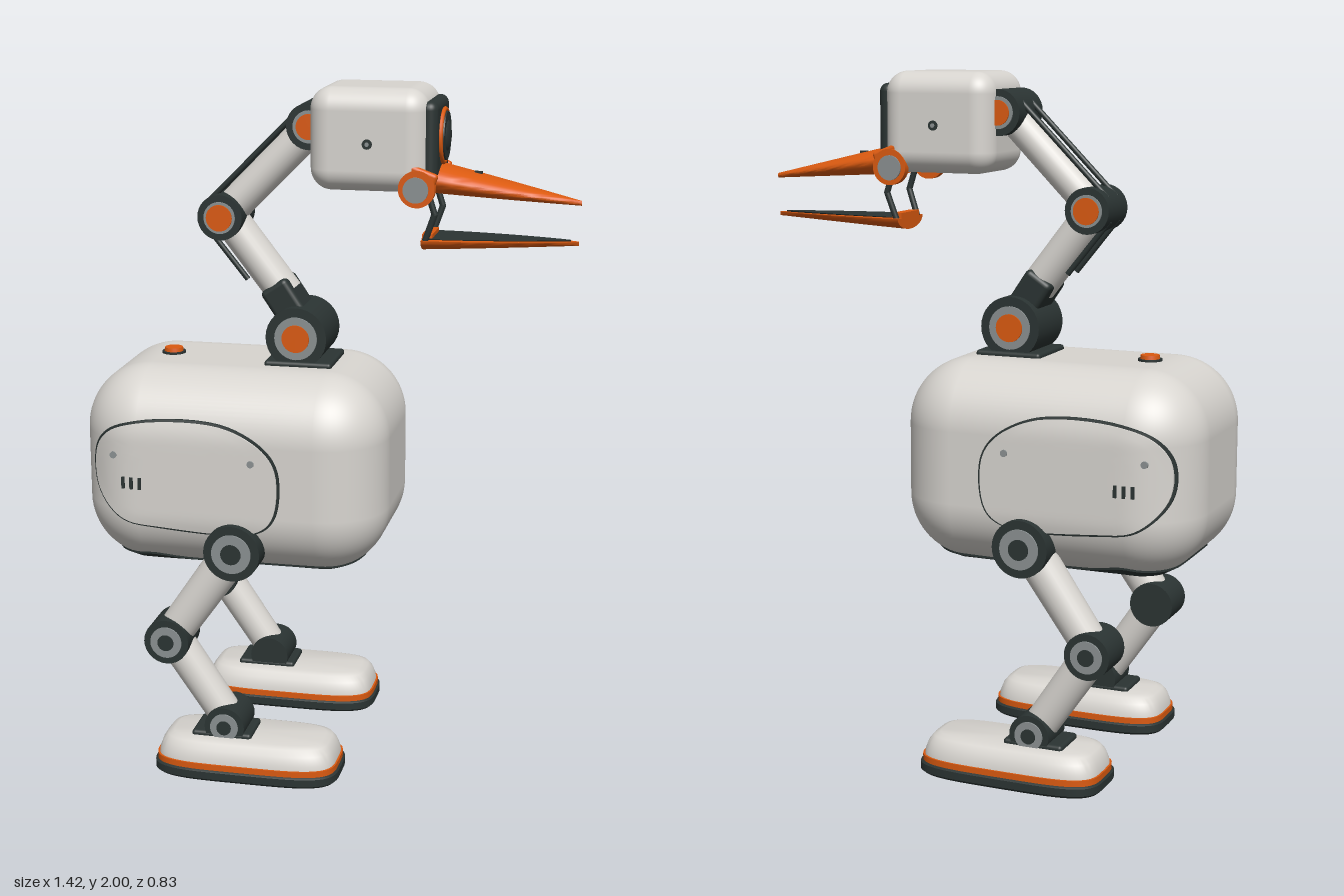
import * as THREE from 'three';
import { mergeVertices, toCreasedNormals } from 'three/addons/utils/BufferGeometryUtils.js';
import { RoundedBoxGeometry } from 'three/addons/geometries/RoundedBoxGeometry.js';

const material = (name, color) => new THREE.MeshStandardMaterial({ name, color });
const V = (x, y, z) => new THREE.Vector3(x, y, z);

export function createModel() {
  const light = material('warm white shell', 0xd8d5d0);
  const dark = material('charcoal', 0x2b3433);
  const orange = material('orange', 0xdb5a10);
  const grey = material('steel grey', 0x8b9192);
  const model = new THREE.Group();

  function add(name, geometry, mat, x = 0, y = 0, z = 0, parent = model) {
    const mesh = new THREE.Mesh(geometry, mat);
    mesh.name = name;
    mesh.position.set(x, y, z);
    parent.add(mesh);
    return mesh;
  }

  // Surface through a list of closed rings with equal point counts
  function loft(rings, flip = false) {
    const n = rings[0].length, index = [];
    for (let i = 0; i < rings.length - 1; i++) {
      for (let j = 0; j < n; j++) {
        const a = i * n + j, b = i * n + (j + 1) % n, c = a + n, d = b + n;
        index.push(...(flip ? [a, c, b, b, c, d] : [a, b, c, b, d, c]));
      }
    }
    const g = new THREE.BufferGeometry().setFromPoints(rings.flat());
    g.setIndex(index);
    return toCreasedNormals(mergeVertices(g), 0.7);
  }

  // Straight round link between two points
  function link(name, a, b, r, mat, parent = model, r2 = r) {
    const dir = b.clone().sub(a), mid = a.clone().add(b).multiplyScalar(0.5);
    const mesh = add(name, new THREE.CylinderGeometry(r2, r, dir.length(), 28), mat, mid.x, mid.y, mid.z, parent);
    mesh.quaternion.setFromUnitVectors(V(0, 1, 0), dir.normalize());
    return mesh;
  }

  // Cylinder lying along z
  function disc(name, x, y, z, r, depth, mat, parent = model) {
    add(name, new THREE.CylinderGeometry(r, r, depth, 32).rotateX(Math.PI / 2), mat, x, y, z, parent);
  }

  // Pivot drum with a ring and hub on each listed side
  function joint(name, x, y, z, r, half, hubMat, hub, sides, parent = model) {
    const g = new THREE.Group();
    g.name = name;
    parent.add(g);
    disc('drum', x, y, z, r, half * 2, dark, g);
    for (const s of sides) {
      disc('ring', x, y, z + s * half, r * 0.7, 0.01, grey, g);
      disc('hub', x, y, z + s * half, r * hub, 0.018, hubMat, g);
    }
  }

  // Body
  const R = 0.19, B = { x: -0.26, y: 0.895, hx: 0.45, hy: 0.295, hz: 0.31 };
  add('body', new RoundedBoxGeometry(B.hx * 2, B.hy * 2, B.hz * 2, 10, R), light, B.x, B.y, 0);
  const bulge = (u, hu, v, hv) => {
    const du = Math.max(Math.abs(u) - hu + R, 0), dv = Math.max(Math.abs(v) - hv + R, 0);
    return Math.sqrt(Math.max(R * R - du * du - dv * dv, 0)) - R;
  };

  // Cover plate that follows the rounded body
  function cover(name, points, mat, place, lift, flip, shrink = 0) {
    const curve = new THREE.CatmullRomCurve3(points.map(([u, v]) => V(u, v, 0)), true, 'centripetal');
    const outline = curve.getPoints(72).slice(0, -1);
    const c = outline.reduce((s, p) => s.add(p), V(0, 0, 0)).divideScalar(outline.length);
    const ring = (k, h) => outline.map(p => {
      const d = p.clone().sub(c), len = d.length();
      d.multiplyScalar(k * (len - shrink) / len).add(c);
      return place(d.x, d.y, h);
    });
    const rings = [ring(1, -0.02), ring(1, lift)];
    for (const k of [0.9, 0.8, 0.7, 0.6, 0.45, 0.3, 0.15, 0]) rings.push(ring(k, lift));
    add(name, loft(rings, flip), mat);
  }
  const panel = [[-0.65, 0.85], [-0.57, 0.765], [-0.45, 0.742], [-0.17, 0.742], [-0.11, 0.79],
    [-0.098, 0.93], [-0.14, 1.0], [-0.26, 1.06], [-0.5, 1.062], [-0.61, 1.025], [-0.655, 0.96]];
  for (const s of [1, -1]) {
    const place = (x, y, h) => V(x, y, s * (B.hz + h + bulge(x - B.x, B.hx, y - B.y, B.hy)));
    cover('sidePanelSeam', panel, dark, place, 0.008, s < 0);
    cover('sidePanel', panel, light, place, 0.014, s < 0, 0.007);
    for (const x of [-0.585, -0.175]) {
      const p = place(x, 0.957, 0.014);
      disc('panelScrew', x, 0.957, p.z, 0.01, 0.01, grey);
    }
    for (const x of [-0.555, -0.53, -0.505]) {
      const p = place(x, 0.878, 0.014);
      add('vent', new THREE.BoxGeometry(0.009, 0.034, 0.012), dark, x, 0.878, p.z);
    }
  }
  const belly = [[0.115, -0.13], [0.115, 0.13], [0.04, 0.2], [-0.1, 0.195], [-0.36, 0.195], [-0.5, 0.235],
    [-0.59, 0.2], [-0.635, 0.12], [-0.635, -0.12], [-0.59, -0.2], [-0.5, -0.235], [-0.36, -0.195], [-0.1, -0.195], [0.04, -0.2]];
  cover('bellyPlate', belly, dark,
    (x, z, h) => V(x, B.y - B.hy - h - bulge(x - B.x, B.hx, z, B.hz), z), 0.006, false);
  add('backButton', new THREE.CylinderGeometry(0.027, 0.03, 0.02, 28), orange, -0.49, 1.197, 0);
  add('backButtonRim', new THREE.CylinderGeometry(0.035, 0.035, 0.008, 28), dark, -0.49, 1.192, 0);

  // Legs and feet
  function footRing(inset, y, k = 1) {
    const pts = [];
    for (let i = 0; i < 64; i++) {
      const t = i / 64 * Math.PI * 2, c = Math.cos(t), s = Math.sin(t);
      const f = v => Math.sign(v) * Math.sqrt(Math.abs(v));
      pts.push(V(k * (0.278 - inset) * f(c), y, -k * (0.136 - inset) * f(s)));
    }
    return pts;
  }
  for (const s of [1, -1]) {
    const leg = new THREE.Group(), z = s * 0.277;
    leg.name = s > 0 ? 'nearLeg' : 'farLeg';
    model.add(leg);
    const hip = V(-0.23, 0.69, z), knee = V(-0.432, 0.4, z), ankle = V(-0.26, 0.145, z);
    joint('hip', hip.x, hip.y, z, 0.083, 0.068, dark, 0.36, [s], leg);
    joint('knee', knee.x, knee.y, z, 0.067, 0.064, dark, 0.36, [s], leg);
    joint('ankle', ankle.x, ankle.y, z, 0.06, 0.064, dark, 0.36, [s], leg);
    link('thigh', knee, hip, 0.053, light, leg, 0.058);
    link('shin', ankle, knee, 0.05, light, leg, 0.053);
    add('anklePlate', new RoundedBoxGeometry(0.18, 0.025, 0.13, 3, 0.01), dark, -0.27, 0.115, z, leg);
    const foot = (name, rings, mat) => add(name, loft(rings), mat, -0.197, 0, z, leg);
    foot('sole', [footRing(0, 0, 0), footRing(0.008, 0), footRing(0, 0.008), footRing(0, 0.03), footRing(0.008, 0.036), footRing(0, 0.036, 0)], dark);
    foot('soleStripe', [footRing(0.006, 0.034), footRing(0.006, 0.052), footRing(0.006, 0.052, 0)], orange);
    foot('footShell', [footRing(0.011, 0.05), footRing(0.013, 0.065), footRing(0.022, 0.09), footRing(0.035, 0.107),
      footRing(0.052, 0.114), footRing(0.052, 0.114, 0)], light);
  }

  // Neck
  const base = V(-0.095, 1.273, 0), elbow = V(-0.322, 1.615, 0), nape = V(-0.055, 1.885, 0);
  add('neckPlate', new RoundedBoxGeometry(0.2, 0.022, 0.2, 3, 0.01), dark, -0.09, 1.193, 0);
  joint('neckBase', base.x, base.y, 0, 0.09, 0.093, orange, 0.45, [1, -1]);
  const collar = add('neckCollar', new RoundedBoxGeometry(0.09, 0.13, 0.13, 3, 0.015), dark, -0.137, 1.365, 0);
  collar.rotation.z = 0.59;
  link('lowerNeck', V(-0.145, 1.385, 0), elbow, 0.052, light).scale.z = 1.12;
  joint('neckElbow', elbow.x, elbow.y, 0, 0.066, 0.078, orange, 0.58, [1, -1]);
  link('upperNeck', elbow, nape, 0.05, light).scale.z = 1.12;
  joint('nape', nape.x, nape.y, 0, 0.066, 0.088, orange, 0.55, [1, -1]);
  for (const z of [-0.035, 0.035]) {
    link('upperTendon', V(-0.37, 1.65, z), V(-0.105, 1.915, z), 0.008, dark);
    link('lowerTendon', V(-0.375, 1.585, z), V(-0.25, 1.43, z), 0.008, dark);
  }

  // Head and eye
  add('head', new RoundedBoxGeometry(0.34, 0.29, 0.286, 8, 0.062), light, 0.12, 1.855, 0);
  add('facePlate', new RoundedBoxGeometry(0.05, 0.22, 0.226, 5, 0.024), dark, 0.288, 1.855, 0);
  add('eyeRing', new THREE.TorusGeometry(0.074, 0.007, 10, 40).rotateY(Math.PI / 2), orange, 0.316, 1.86, 0);
  add('eyeBarrel', new THREE.CylinderGeometry(0.068, 0.074, 0.03, 36).rotateZ(-Math.PI / 2), dark, 0.311, 1.86, 0);
  add('eyeLens', new THREE.SphereGeometry(0.045, 28, 14).scale(0.3, 1, 1), dark, 0.322, 1.86, 0);

  // Beak halves, tapering to the tip
  function beak(x0, x1, w, top, bottom, flat) {
    const rings = [];
    const ring = (u, k) => {
      const t = THREE.MathUtils.lerp(top[0], top[1], u), b = THREE.MathUtils.lerp(bottom[0], bottom[1], u);
      const half = w * Math.pow(1 - Math.pow(u, 1.7), 0.9) + 0.003;
      const mid = flat ? t : (t + b) / 2;
      return Array.from({ length: 32 }, (_, i) => {
        const a = i / 32 * Math.PI * 2, c = Math.cos(a);
        return V(x0 + u * (x1 - x0), mid + k * c * (c > 0 ? t - mid : mid - b), k * half * Math.sin(a));
      });
    };
    rings.push(ring(0, 0));
    for (let i = 0; i <= 16; i++) rings.push(ring(i / 16, 1));
    rings.push(ring(1, 0));
    return loft(rings);
  }
  add('upperBeak', beak(0.27, 0.708, 0.09, [1.792, 1.688], [1.7, 1.674], false), orange);
  add('lowerBeak', beak(0.265, 0.703, 0.082, [1.572, 1.572], [1.536, 1.56], true), orange);
  add('mouthPlate', beak(0.275, 0.68, 0.072, [1.576, 1.576], [1.57, 1.57], true), dark);
  add('nostril', new THREE.BoxGeometry(0.022, 0.012, 0.014), dark, 0.415, 1.756, 0);
  add('jawBar', new THREE.BoxGeometry(0.03, 0.03, 0.12), orange, 0.28, 1.572, 0);

  for (const s of [1, -1]) {
    disc('earHole', 0.122, 1.848, s * 0.143, 0.014, 0.008, dark);
    disc('earPin', 0.122, 1.848, s * 0.146, 0.006, 0.008, grey);
    disc('cheek', 0.262, 1.727, s * 0.133, 0.052, 0.024, orange);
    disc('cheekCap', 0.26, 1.725, s * 0.146, 0.036, 0.008, grey);
    const arm = add('cheekArm', new RoundedBoxGeometry(0.1, 0.06, 0.024, 3, 0.01), orange, 0.265, 1.755, s * 0.128);
    arm.rotation.z = -0.35;
    link('jawRodUpper', V(0.28, 1.72, s * 0.075), V(0.304, 1.645, s * 0.075), 0.009, dark);
    link('jawRodLower', V(0.304, 1.65, s * 0.075), V(0.276, 1.57, s * 0.07), 0.009, dark);
  }
  return model;
}
